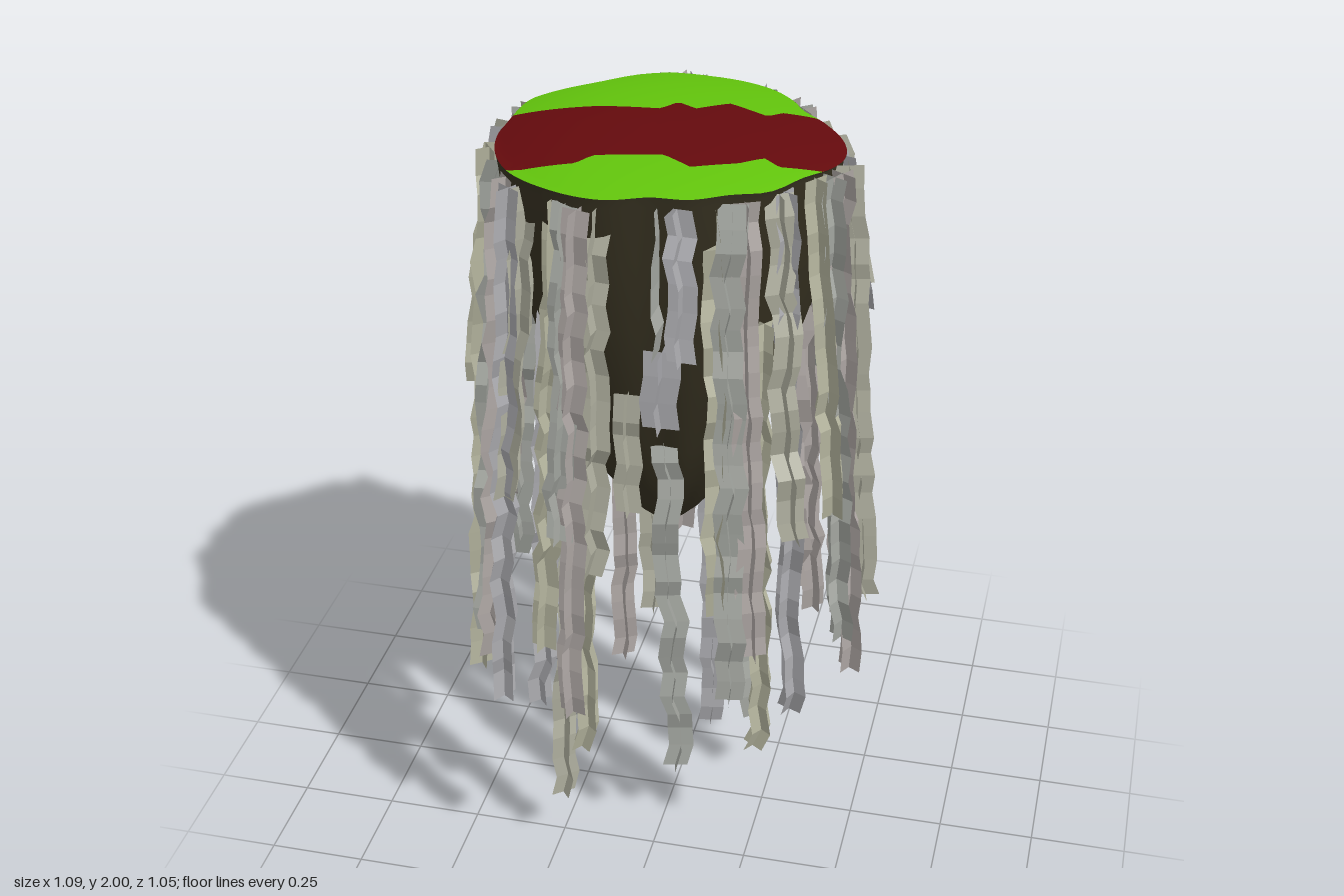
import * as THREE from 'three';

// Island rim, as x, z corners running round from the right side over the back
const RIM = [[0.41, 0], [0.39, -0.09], [0.33, -0.17], [0.27, -0.22], [0.235, -0.28], [0.17, -0.35],
  [0.09, -0.385], [0, -0.395], [-0.1, -0.4], [-0.17, -0.36], [-0.25, -0.27], [-0.34, -0.2],
  [-0.385, -0.15], [-0.4, -0.08], [-0.395, 0], [-0.405, 0.07], [-0.39, 0.17], [-0.35, 0.26],
  [-0.3, 0.32], [-0.22, 0.37], [-0.13, 0.4], [-0.05, 0.4], [0.03, 0.375], [0.12, 0.36],
  [0.2, 0.31], [0.28, 0.26], [0.34, 0.16], [0.39, 0.08]];
const rim = new THREE.CatmullRomCurve3(RIM.map(([x, z]) => new THREE.Vector3(x, 0, z)), true)
  .getPoints(96).slice(0, 96);

let seed = 7;
const rand = () => (seed = (seed * 16807) % 2147483647) / 2147483647;
const jitter = size => (rand() - 0.5) * 2 * size;

const paint = (color, flat = false) => new THREE.MeshStandardMaterial({
  color, side: THREE.DoubleSide, flatShading: flat });

// Surface through rows of points with equal counts
function loft(rows, closed = false) {
  const n = rows[0].length, idx = [];
  for (let i = 0; i < rows.length - 1; i++) {
    for (let j = 0; j < (closed ? n : n - 1); j++) {
      const a = i * n + j, b = i * n + (j + 1) % n;
      idx.push(a, b, a + n, b, b + n, a + n);
    }
  }
  const g = new THREE.BufferGeometry();
  g.setAttribute('position', new THREE.Float32BufferAttribute(rows.flat(2), 3));
  g.setIndex(idx);
  g.computeVertexNormals();
  return g;
}

function addMesh(group, name, geometry, material) {
  const mesh = new THREE.Mesh(geometry, material);
  mesh.name = name;
  group.add(mesh);
}

// Back and front rim depth at a given x
function rimDepth(x) {
  const hits = [];
  rim.forEach((p, i) => {
    const q = rim[(i + 1) % rim.length];
    if ((p.x <= x) !== (q.x <= x)) hits.push(p.z + (q.z - p.z) * (x - p.x) / (q.x - p.x));
  });
  return [Math.min(...hits), Math.max(...hits)];
}

// Gentle dome falling to the rim, highest left of the middle
const topHeight = (x, z) => {
  const d = Math.min(1, Math.hypot(x, z) / 0.41);
  return 1.998 - 0.03 * d ** 3 - 0.06 * (x + 0.2) ** 2 + 0.03 * Math.min(z, 0);
};

// Jagged edges of the path, as x, z
const PATH_BACK = [[-0.42, -0.01], [-0.2, -0.06], [-0.05, -0.075], [-0.02, -0.13], [0.03, -0.1],
  [0.1, -0.165], [0.2, -0.12], [0.23, -0.165], [0.3, -0.185], [0.42, -0.21]];
const PATH_FRONT = [[-0.42, 0.33], [-0.3, 0.29], [-0.17, 0.26], [-0.14, 0.22], [0.02, 0.185],
  [0.09, 0.225], [0.19, 0.17], [0.24, 0.12], [0.28, 0.145], [0.42, 0.09]];
function edgeAt(line, x) {
  const i = Math.max(1, line.findIndex(p => p[0] >= x));
  const [a, b] = [line[i - 1], line[i]];
  return a[1] + (b[1] - a[1]) * (x - a[0]) / (b[0] - a[0]);
}

// Grass, path and grass, side by side over the top
function addTop(group) {
  const bands = [[], [], []], steps = 90;
  for (let i = 0; i <= steps; i++) {
    const x = 0.0025 - 0.4065 * Math.cos(Math.PI * i / steps);
    const [back, front] = rimDepth(x);
    const clamp = v => Math.min(front, Math.max(back, v));
    const cuts = [back, clamp(edgeAt(PATH_BACK, x)), clamp(edgeAt(PATH_FRONT, x)), front];
    bands.forEach((rows, b) => rows.push(Array.from({ length: 11 }, (_, k) => {
      const z = cuts[b] + (cuts[b + 1] - cuts[b]) * k / 10;
      return [x, topHeight(x, z), z];
    })));
  }
  ['grassBack', 'path', 'grassFront'].forEach((name, b) =>
    addMesh(group, name, loft(bands[b]), paint(name === 'path' ? 0x640a0d : 0x62c40c)));
}

// Rock below the grass: the rim shrinking to an off-centre tip (height, scale)
const ROCK = [[1.945, 0.99], [1.8, 0.95], [1.6, 0.87], [1.4, 0.74], [1.2, 0.58], [1.08, 0.46],
  [0.98, 0.31], [0.91, 0.19], [0.87, 0.1], [0.85, 0.005]];
function addRock(group) {
  const rows = [rim.map(p => [p.x, topHeight(p.x, p.z), p.z])];
  for (const [y, s] of ROCK) {
    const t = 1 - s;
    rows.push(rim.map(p => [p.x * s - 0.03 * t, y, p.z * s - 0.07 * t]));
  }
  addMesh(group, 'rock', loft(rows.map(r => r.reverse()), true), paint(0x353020));
}

// One hanging root: crossed ribbons wandering from top to bottom
const TINTS = [0xadad9d, 0xada6a3, 0xa4a7a1, 0xb2b29c, 0xa9a9ad].map(c => paint(c, true));
let count = 0;
function addRoot(group, top, bottom, width = 0.068, single = false) {
  const root = new THREE.Group();
  root.name = 'hangingRoot' + (++count);
  const rows = Math.max(3, Math.round((top[1] - bottom[1]) / 0.06));
  const turn = Math.atan2(bottom[0], bottom[2]) + jitter(0.4);
  const sway = 0.007 + 0.008 * rand();
  const spine = Array.from({ length: rows + 1 }, (_, i) => {
    const t = i / rows;
    return [0, 1, 2].map(k => top[k] + (bottom[k] - top[k]) * t
      + (k === 1 ? (i % rows ? jitter(0.012) : 0) : jitter(sway)));
  });
  for (let r = 0; r < (single ? 1 : 2); r++) {
    const a = turn + (single ? 1 : r) * Math.PI / 2;
    const dx = Math.cos(a) * width / 2, dz = -Math.sin(a) * width / 2;
    addMesh(root, 'ribbon', loft(spine.map(([x, y, z]) => [[x - dx, y, z - dz], [x + dx, y, z + dz]])),
      TINTS[count % TINTS.length]);
  }
  group.add(root);
}

// Roots from the rim: x, z and height of the lower end
const RIM_ROOTS = [
  [-0.09, -0.49, 0.55], [-0.06, -0.49, 1.48], [-0.01, -0.47, 1.55], [0.16, -0.45, 1.62],
  [0.2, -0.42, 1.75], [0.32, -0.33, 0.43], [0.29, -0.33, 1.22], [0.37, -0.24, 1.6],
  [0.47, -0.02, 1.55], [0.51, 0.05, 0.76], [0.49, 0.1, 0.56],
  [0.47, 0.13, 0.67], [0.44, 0.16, 1.06], [0.37, 0.26, 0.52], [0.36, 0.29, 1.06],
  [0.28, 0.36, 0.75], [0.24, 0.39, 0.62], [0.2, 0.36, 0.85], [0.12, 0.44, 1.6],
  [-0.1, 0.46, 1.0], [-0.15, 0.5, 0.6], [-0.18, 0.47, 1.1], [-0.23, 0.43, 0.75],
  [-0.36, 0.4, 0.55], [-0.33, 0.37, 1.14], [-0.4, 0.33, 0.62], [-0.45, 0.22, 0.62],
  [-0.49, 0.16, 0.46], [-0.5, 0.01, 0.75], [-0.5, -0.04, 1.44], [-0.48, -0.09, 0.85],
  [-0.47, -0.14, 0.62], [-0.46, -0.19, 1.0], [-0.42, -0.25, 0.8], [-0.37, -0.28, 0.95],
  [-0.31, -0.34, 1.5], [-0.26, -0.38, 1.6], [-0.19, -0.44, 1.6]];
// Single ribbons from the rim
const THIN_ROOTS = [[0.06, -0.46, 1.5], [0.44, -0.15, 1.55], [0.26, -0.39, 1.6],
  [0.06, 0.43, 1.6], [-0.48, 0.12, 1.3]];
// Roots from lower on the rock: top x, y, z, then lower end x, y, z
const INNER_ROOTS = [
  [0.03, 1.5, -0.28, 0.04, 0, -0.31], [-0.17, 1.6, 0.28, -0.23, 0.18, 0.3],
  [-0.18, 1.5, -0.22, -0.2, 0.26, -0.23], [0.02, 1.25, 0.2, 0.05, 0.21, 0.16],
  [-0.15, 1.55, 0.3, -0.16, 0.38, 0.34], [-0.25, 1.6, 0.25, -0.29, 0.46, 0.28],
  [-0.1, 1.4, -0.2, -0.1, 0.49, -0.15], [0.4, 1.55, -0.03, 0.45, 0.62, -0.05],
  [0.23, 1.5, 0.18, 0.25, 0.44, 0.2], [0.26, 1.6, 0.22, 0.28, 0.38, 0.24],
  [0.2, 1.5, 0.22, 0.21, 0.67, 0.13], [-0.05, 1.42, 0.3, -0.04, 1.1, 0.31],
  [0.31, 1.55, 0.02, 0.33, 0.75, 0.04], [-0.3, 1.5, 0, -0.32, 0.7, -0.02],
  [-0.3, 1.5, -0.15, -0.37, 0.54, -0.18]];

export function createModel() {
  const model = new THREE.Group();
  model.name = 'floatingIsland';
  addTop(model);
  addRock(model);
  const fromRim = (x, z, y, single) => {
    const s = 1 - 0.08 / Math.hypot(x, z);
    addRoot(model, [x * s, 1.945, z * s], [x, y, z], 0.07, single);
  };
  RIM_ROOTS.forEach(([x, z, y]) => fromRim(x, z, y, false));
  THIN_ROOTS.forEach(([x, z, y]) => fromRim(x, z, y, true));
  INNER_ROOTS.forEach(([a, b, c, d, e, f]) => addRoot(model, [a, b, c], [d, e, f], 0.066));
  // Broad loose flap on the front
  addRoot(model, [0.05, 1.57, 0.35], [0.05, 1.37, 0.36], 0.09);
  return model;
}
